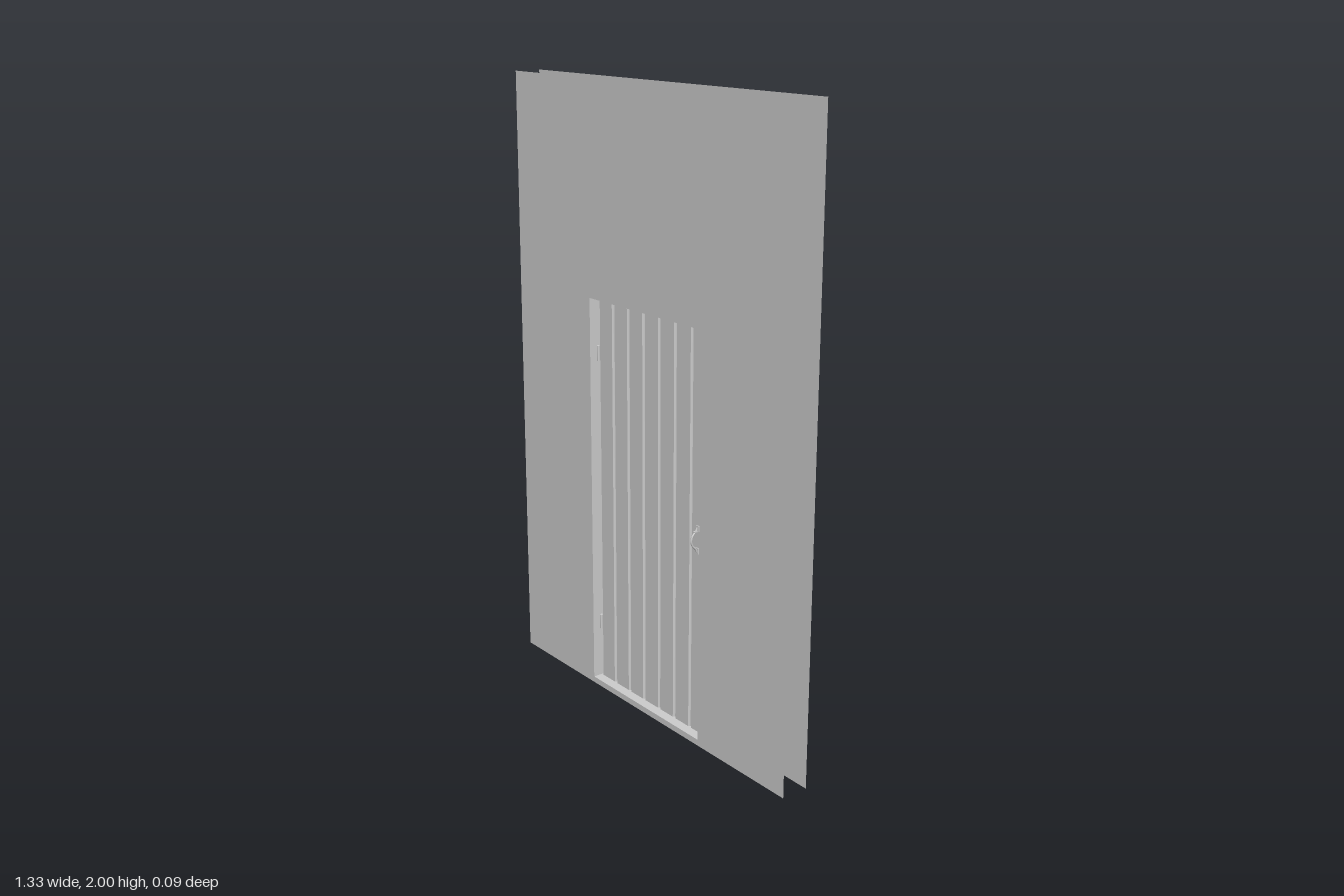
import * as THREE from 'three';

const grey = new THREE.MeshStandardMaterial({ color: 0xcccccc, flatShading: true });
const sheet = new THREE.MeshStandardMaterial({ color: 0xcccccc, side: THREE.DoubleSide });
const smooth = new THREE.MeshStandardMaterial({ color: 0xcccccc });

function add(parent, name, geometry, x, y, z, material = grey) {
  const mesh = new THREE.Mesh(geometry, material);
  mesh.name = name;
  mesh.position.set(x, y, z);
  parent.add(mesh);
  return mesh;
}

const box = (w, h, d) => new THREE.BoxGeometry(w, h, d);

const HALF_Z = 0.045; // half the wall thickness
const OUT_X = 0.283, IN_X = 0.275; // frame outside and inside
const OUT_Y = 1.333, IN_Y = 1.325, SILL = 0.02;

// Thin wall sheet with the doorway cut out of its lower edge
function wallGeometry() {
  const w = 0.667;
  const s = new THREE.Shape();
  [[-w, 0], [-OUT_X, 0], [-OUT_X, OUT_Y], [OUT_X, OUT_Y], [OUT_X, 0], [w, 0], [w, 2], [-w, 2]]
    .forEach(([x, y], i) => (i ? s.lineTo(x, y) : s.moveTo(x, y)));
  return new THREE.ShapeGeometry(s);
}

// Vertical board with chamfered long edges
function plankGeometry(w, h, d) {
  const c = 0.004, x = w / 2, z = d / 2;
  const s = new THREE.Shape([
    [-x + c, -z], [x - c, -z], [x, -z + c], [x, z - c],
    [x - c, z], [-x + c, z], [-x, z - c], [-x, -z + c],
  ].map(([a, b]) => new THREE.Vector2(a, b)));
  return new THREE.ExtrudeGeometry(s, { depth: h, bevelEnabled: false }).rotateX(-Math.PI / 2);
}

// Bow handle with end plates, built to stick out along +z
function makeHandle(name) {
  const g = new THREE.Group();
  g.name = name;
  const path = new THREE.CatmullRomCurve3([
    [-0.04, 0.004], [-0.03, 0.008], [-0.016, 0.021], [0, 0.026], [0.016, 0.021], [0.03, 0.008], [0.04, 0.004],
  ].map(([y, z]) => new THREE.Vector3(0, y, z)));
  add(g, 'handleBow', new THREE.TubeGeometry(path, 24, 0.0032, 8), 0, 0, 0, smooth);
  for (const s of [-1, 1]) add(g, 'handlePlate', box(0.012, 0.018, 0.004), 0, s * 0.036, 0.002);
  add(g, 'thumbLatch', box(0.007, 0.004, 0.016), 0, 0.028, 0.009);
  return g;
}

export function createModel() {
  const model = new THREE.Group();
  model.name = 'doorInWall';

  // Front and back wall sheets
  add(model, 'frontWall', wallGeometry(), 0, 0, HALF_Z, sheet);
  add(model, 'backWall', wallGeometry(), 0, 0, -HALF_Z, sheet);

  // Frame lining the doorway
  const frame = new THREE.Group();
  frame.name = 'frame';
  model.add(frame);
  const t = OUT_X - IN_X;
  for (const s of [-1, 1]) {
    add(frame, 'jamb', box(t, OUT_Y, 2 * HALF_Z), s * (IN_X + t / 2), OUT_Y / 2, 0);
  }
  add(frame, 'lintel', box(2 * IN_X, OUT_Y - IN_Y, 2 * HALF_Z), 0, (OUT_Y + IN_Y) / 2, 0);
  add(frame, 'threshold', box(2 * IN_X, SILL, 2 * HALF_Z), 0, SILL / 2, 0);

  // Door of seven boards on a thinner core
  const door = new THREE.Group();
  door.name = 'door';
  model.add(door);
  const left = -0.265, right = 0.274, bottom = 0.023, top = 1.321;
  const depth = 0.032, count = 7, gap = 0.006;
  const pitch = (right - left + gap) / count;
  add(door, 'core', box(right - left - 0.008, top - bottom, depth - 0.014),
    (left + right) / 2, (top + bottom) / 2, 0);
  const plank = plankGeometry(pitch - gap, top - bottom, depth);
  for (let i = 0; i < count; i++) {
    add(door, 'plank', plank, left + (pitch - gap) / 2 + i * pitch, bottom, 0);
  }

  // Handles on both faces
  const front = makeHandle('frontHandle');
  front.position.set(0.233, 0.665, depth / 2);
  const back = makeHandle('backHandle');
  back.position.set(0.233, 0.665, -depth / 2);
  back.rotation.y = Math.PI;
  door.add(front, back);

  // Hinges bridging the gap beside the door
  for (const y of [0.217, 1.143]) {
    add(model, 'hingeBarrel', new THREE.CylinderGeometry(0.005, 0.005, 0.05, 12), -0.27, y, depth / 2, smooth);
    add(model, 'hingeLeaf', box(0.01, 0.046, 0.026), -0.27, y, 0);
  }
  return model;
}
